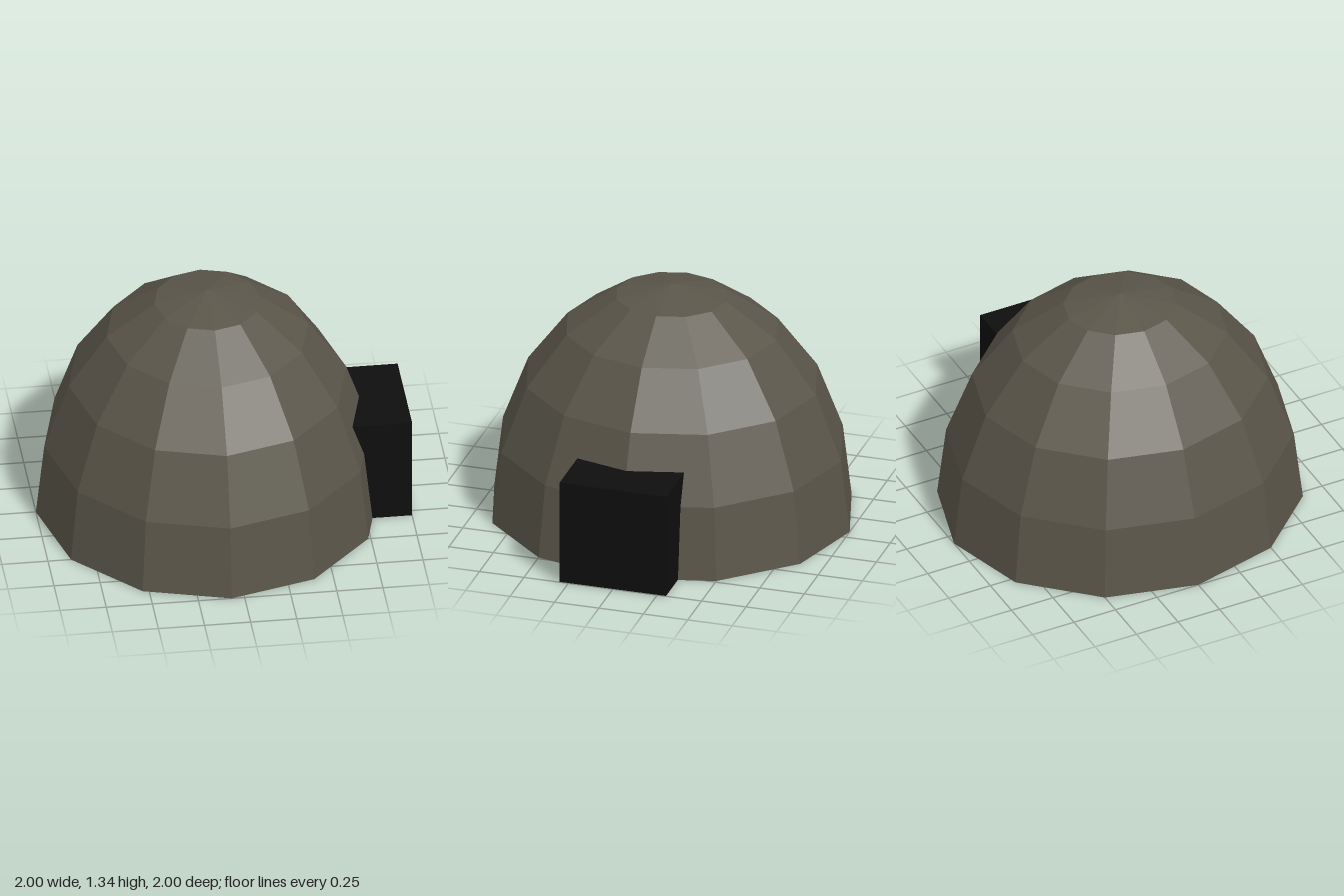
import * as THREE from 'three';

export function createModel() {
  const model = new THREE.Group();
  const hide = new THREE.MeshStandardMaterial({ color: 0x5a5549, flatShading: true });
  hide.name = 'grey brown hide';
  const black = new THREE.MeshStandardMaterial({ color: 0x0e0e0e, flatShading: true });
  black.name = 'black';

  // Twelve-sided dome, closed underneath, slightly narrower along x
  const height = 1.335, rings = 5;
  const profile = [new THREE.Vector2(0, 0)];
  for (let i = 0; i <= rings; i++) {
    const a = (i / rings) * Math.PI / 2;
    profile.push(new THREE.Vector2(i === rings ? 0 : Math.cos(a), height * Math.sin(a)));
  }
  const dome = new THREE.Mesh(new THREE.LatheGeometry(profile, 12), hide);
  dome.name = 'dome';
  dome.scale.x = 0.93;
  dome.position.x = -0.07;
  model.add(dome);

  // Box-shaped entrance, its inner end buried in the dome
  const entrance = new THREE.Mesh(new THREE.BoxGeometry(0.5, 0.588, 0.6), black);
  entrance.name = 'entrance';
  entrance.position.set(0.75, 0.296, 0);
  model.add(entrance);

  return model;
}
